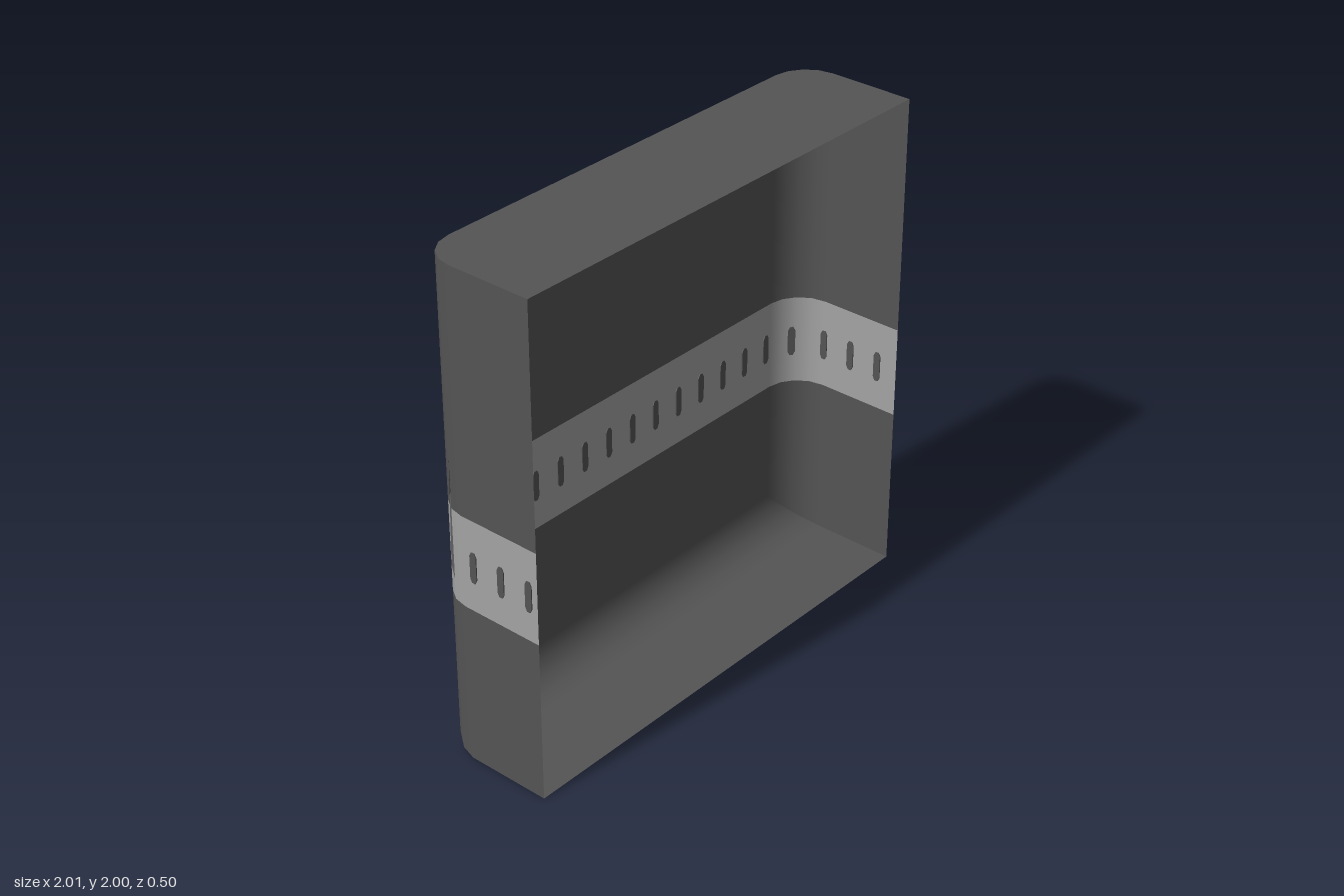
import * as THREE from 'three';

const R = 0.15, HALF = 1, FRONT = 0.25, TOP = 2, BAND_LOW = 0.665, BAND_HIGH = 1.04;
const STEPS = 4; // facets in each rounded corner

const mat = (name, color) => {
  const m = new THREE.MeshStandardMaterial({ color, side: THREE.DoubleSide });
  m.name = name;
  return m;
};

// Plan outline, from the right front edge round the back to the left front edge
function planOutline() {
  const pts = [];
  for (const side of [-1, 1]) {
    const arc = [{ x: side * HALF, z: FRONT, nx: side, nz: 0, low: 0 }];
    for (let i = 0; i <= STEPS; i++) {
      const a = (i / STEPS) * Math.PI / 2, c = Math.cos(a), s = Math.sin(a);
      arc.push({
        x: side * (HALF - R + R * c), z: R - FRONT - R * s,
        nx: side * c, nz: -s, low: R * (1 - c),
      });
    }
    pts.push(...(side < 0 ? arc : arc.reverse()));
  }
  return pts;
}

function mix(p, q, t) {
  const r = {};
  for (const k in p) r[k] = p[k] + (q[k] - p[k]) * t;
  return r;
}

// Ribbon between two edges; each row is [edgeA, edgeB, normal]
function ribbon(name, rows, material) {
  const pos = [], nor = [], idx = [];
  rows.forEach(([a, b, n], i) => {
    pos.push(...a, ...b);
    nor.push(...n, ...n);
    if (i) {
      const k = 2 * i - 2;
      idx.push(k, k + 1, k + 3, k, k + 3, k + 2);
    }
  });
  const g = new THREE.BufferGeometry();
  g.setAttribute('position', new THREE.Float32BufferAttribute(pos, 3));
  g.setAttribute('normal', new THREE.Float32BufferAttribute(nor, 3));
  g.setIndex(idx);
  const mesh = new THREE.Mesh(g, material);
  mesh.name = name;
  return mesh;
}

// Upright wall over plan points, each with its own lower and upper height
const wall = (name, cols, material) => ribbon(name, cols.map(([p, lo, hi]) =>
  [[p.x, lo, p.z], [p.x, hi, p.z], [p.nx, 0, p.nz]]), material);

export function createModel() {
  const group = new THREE.Group();
  const dark = mat('darkGrey', 0x545454);
  const light = mat('lightGrey', 0xa4a4a4);
  const plan = planOutline();

  // Walls: lower part all round, the rest leaves out the torn corner facet
  group.add(wall('lowerWall', plan.map(p => [p, p.low, BAND_LOW]), dark));
  for (const part of [plan.slice(0, 3), plan.slice(3)]) {
    group.add(wall('band', part.map(p => [p, BAND_LOW, BAND_HIGH]), light));
    group.add(wall('upperWall', part.map(p => [p, BAND_HIGH, TOP]), dark));
  }

  // Torn corner facet with a tall triangular gap
  const [p, q] = [plan[2], plan[3]];
  const gapTop = 1.24, gapLow = 0.75, gapSide = 0.77;
  const m = mix(p, q, (gapTop - BAND_HIGH) / (gapTop - gapSide));
  group.add(
    wall('bandBelowGap', [[p, BAND_LOW, gapLow], [q, BAND_LOW, gapSide]], light),
    wall('bandBesideGap', [[m, BAND_HIGH, BAND_HIGH], [q, gapSide, BAND_HIGH]], light),
    wall('wallAboveGap', [[p, gapTop, TOP], [m, BAND_HIGH, TOP], [q, BAND_HIGH, TOP]], dark),
  );

  // Floor, curving up into the back wall
  const floorRows = [[[HALF, 0, FRONT], [-HALF, 0, FRONT], [0, -1, 0]]];
  for (let i = 0; i <= STEPS; i++) {
    const a = (i / STEPS) * Math.PI / 2, c = Math.cos(a), s = Math.sin(a);
    const w = HALF - R + R * c, y = R * (1 - c), z = R - FRONT - R * s;
    floorRows.push([[w, y, z], [-w, y, z], [0, -c, -s]]);
  }
  group.add(ribbon('floor', floorRows, dark));

  // Flat lid
  const lidShape = new THREE.Shape(plan.map(v => new THREE.Vector2(v.x, -v.z)));
  const lid = new THREE.Mesh(new THREE.ShapeGeometry(lidShape).rotateX(-Math.PI / 2), dark);
  lid.position.y = TOP;
  lid.name = 'lid';
  group.add(lid);

  // Row of slot marks along the band, showing inside and outside
  const w = 0.015, h = 0.0625, cut = 0.008;
  const slotShape = new THREE.Shape([
    [-w, -h + 2 * cut], [-w + cut, -h], [w - cut, -h], [w, -h + 2 * cut],
    [w, h - 2 * cut], [w - cut, h], [-w + cut, h], [-w, h - 2 * cut],
  ].map(v => new THREE.Vector2(...v)));
  const slotGeo = new THREE.ExtrudeGeometry(slotShape, { depth: 0.008, bevelEnabled: false });
  slotGeo.translate(0, 0, -0.004);
  const addSlot = (x, z, turn) => {
    const slot = new THREE.Mesh(slotGeo, dark);
    slot.position.set(x, 0.848, z);
    slot.rotation.y = turn;
    slot.name = 'slotMark';
    group.add(slot);
  };
  addSlot(-0.874, -0.247, 0.17);
  for (let i = 1; i < 14; i++) addSlot(-0.875 + i * 0.1304, -FRONT, 0);
  addSlot(0.941, -0.217, -0.66);
  for (let i = 0; i < 3; i++) {
    addSlot(HALF, -0.1 + i * 0.13, Math.PI / 2);
    addSlot(-HALF, -0.05 + i * 0.13, Math.PI / 2);
  }
  return group;
}
